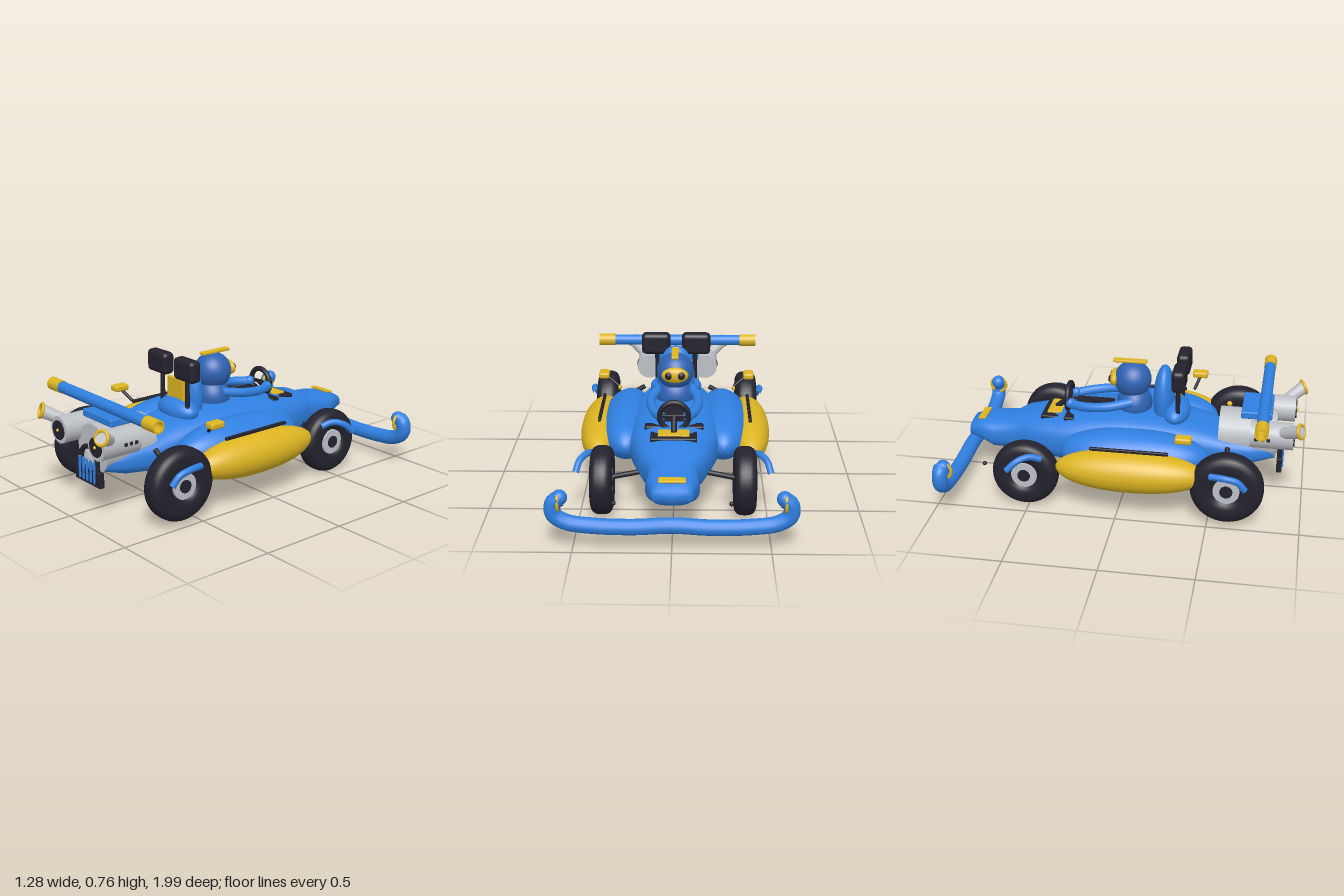
import * as THREE from 'three';
import { RoundedBoxGeometry } from 'three/addons/geometries/RoundedBoxGeometry.js';

const paint = (name, color, side = THREE.FrontSide) => {
  const m = new THREE.MeshStandardMaterial({ color, side });
  m.name = name;
  return m;
};

export function createModel() {
  const blue = paint('body blue', 0x2f7fe0), navy = paint('driver blue', 0x2e62b2);
  const yellow = paint('trim yellow', 0xdcb422), dark = paint('rubber black', 0x23222d);
  const gray = paint('engine gray', 0xbcbfc4);
  const root = new THREE.Group();
  const V = (p) => new THREE.Vector3(...p);

  const add = (name, geo, mat, pos = [0, 0, 0], rot = [0, 0, 0], parent = root) => {
    const m = new THREE.Mesh(geo, mat);
    m.name = name;
    m.position.set(...pos);
    m.rotation.set(...rot);
    parent.add(m);
    return m;
  };
  const box = (name, mat, size, pos, r = 0.01, rot) =>
    add(name, new RoundedBoxGeometry(...size, 3, Math.min(r, ...size.map((s) => s / 2.1))), mat, pos, rot);
  // Ellipsoid; blunt < 1 makes the z ends fuller
  const ellipsoid = (name, mat, radii, pos, blunt = 1) => {
    const g = new THREE.SphereGeometry(1, 40, 28).rotateX(Math.PI / 2);
    const p = g.attributes.position;
    for (let i = 0; i < p.count; i++) {
      const z = p.getZ(i), a = Math.min(1, Math.abs(z));
      const k = a < 0.9999 ? Math.sqrt((1 - a ** (2 / blunt)) / (1 - a * a)) : 0;
      p.setXYZ(i, p.getX(i) * k * radii[0], p.getY(i) * k * radii[1], z * radii[2]);
    }
    g.computeVertexNormals();
    return add(name, g, mat, pos);
  };
  const rod = (name, mat, a, b, r, r2 = r) => {
    const d = V(b).sub(V(a));
    const m = add(name, new THREE.CylinderGeometry(r2, r, d.length(), 20), mat);
    m.position.copy(V(a)).addScaledVector(d, 0.5);
    m.quaternion.setFromUnitVectors(new THREE.Vector3(0, 1, 0), d.normalize());
    return m;
  };
  const tube = (name, mat, pts, r, n = 32) =>
    add(name, new THREE.TubeGeometry(new THREE.CatmullRomCurve3(pts.map(V)), n, r, 14), mat);
  const ball = (name, mat, r, pos) => add(name, new THREE.SphereGeometry(r, 28, 20), mat, pos);

  // Hull: rounded cross-sections [z, half width, bottom, top]
  const stations = [
    [0.83, 0.12, 0.23, 0.33], [0.7, 0.15, 0.19, 0.35], [0.55, 0.17, 0.17, 0.37], [0.4, 0.2, 0.16, 0.42],
    [0.2, 0.24, 0.15, 0.455], [0, 0.25, 0.15, 0.47], [-0.2, 0.25, 0.15, 0.455], [-0.35, 0.24, 0.15, 0.43],
    [-0.5, 0.2, 0.16, 0.405], [-0.6, 0.165, 0.16, 0.39], [-0.66, 0.13, 0.16, 0.36], [-0.78, 0.14, 0.17, 0.345],
    [-0.85, 0.115, 0.2, 0.335], [-0.92, 0.1, 0.23, 0.31],
  ];
  const N = 36, verts = [], idx = [];
  const ring = ([z, w, lo, hi], k = 1) => {
    for (let i = 0; i < N; i++) {
      const t = (i / N) * Math.PI * 2, c = Math.cos(t), s = Math.sin(t);
      verts.push(k * w * Math.sign(c) * Math.abs(c) ** 0.75,
        (lo + hi) / 2 + k * ((hi - lo) / 2) * Math.sign(s) * Math.abs(s) ** 0.75, z);
    }
  };
  ring(stations[0], 0);
  stations.forEach((s) => ring(s));
  ring(stations[stations.length - 1], 0);
  for (let j = 0; j <= stations.length; j++) {
    for (let i = 0; i < N; i++) {
      const a = j * N + i, b = j * N + ((i + 1) % N), c = a + N, d = b + N;
      idx.push(a, c, b, b, c, d);
    }
  }
  const hull = new THREE.BufferGeometry();
  hull.setAttribute('position', new THREE.Float32BufferAttribute(verts, 3));
  hull.setIndex(idx);
  hull.computeVertexNormals();
  add('hull', hull, blue);
  box('nosePlate', yellow, [0.14, 0.012, 0.045], [0, 0.339, -0.855], 0.005, [-0.15, 0, 0]);

  // Wheel: rounded tyre with a hub on both faces
  const wheel = (name, r, w, pos) => {
    const g = new THREE.Group();
    g.name = name;
    g.position.set(...pos);
    root.add(g);
    const prof = [], inner = 0.065, mid = (r + inner) / 2, h = (r - inner) / 2;
    for (let i = 0; i <= 24; i++) {
      const t = (-i / 24) * Math.PI * 2, c = Math.cos(t), s = Math.sin(t);
      prof.push(new THREE.Vector2(mid + h * Math.sign(c) * Math.abs(c) ** 0.8,
        -(w / 2) * Math.sign(s) * Math.abs(s) ** 0.7));
    }
    prof.reverse();
    const tyre = dark.clone();
    add('tyre', new THREE.LatheGeometry(prof.reverse(), 48), darkTwo, [0, 0, 0], [0, 0, Math.PI / 2], g);
    add('hub', new THREE.CylinderGeometry(0.072, 0.072, w * 0.84, 32), gray, [0, 0, 0], [0, 0, Math.PI / 2], g);
    add('hubCap', new THREE.CylinderGeometry(0.035, 0.035, w * 0.94, 24), dark, [0, 0, 0], [0, 0, Math.PI / 2], g);
  };
  const darkTwo = dark;
  dark.side = THREE.DoubleSide;

  for (const s of [1, -1]) {
    wheel('rearWheel', 0.2, 0.13, [s * 0.425, 0.22, 0.6]);
    wheel('frontWheel', 0.185, 0.12, [s * 0.38, 0.19, -0.52]);
    // Side pods
    ellipsoid('sidePod', blue, [0.15, 0.14, 0.415], [s * 0.27, 0.292, 0.07], 0.8);
    ellipsoid('sidePanel', yellow, [0.12, 0.115, 0.41], [s * 0.42, 0.265, 0.07], 0.9);
    box('sideStrip', dark, [0.018, 0.018, 0.43], [s * 0.422, 0.387, 0.065], 0.005);
    // Fenders
    tube('rearFender', blue, [[s * 0.5, 0.25, 0.7], [s * 0.51, 0.3, 0.66], [s * 0.515, 0.318, 0.6], [s * 0.495, 0.315, 0.51]], 0.018);
    tube('frontFender', blue, [[s * 0.435, 0.305, -0.42], [s * 0.46, 0.325, -0.48], [s * 0.495, 0.31, -0.54], [s * 0.515, 0.26, -0.595]], 0.018);
    // Suspension
    rod('rearArm', dark, [s * 0.2, 0.335, 0.58], [s * 0.38, 0.235, 0.58], 0.014);
    rod('frontArm', dark, [s * 0.12, 0.25, -0.52], [s * 0.36, 0.2, -0.52], 0.014);
    ball('armBolt', yellow, 0.016, [s * 0.355, 0.34, 0.545]);
    ball('noseMarker', dark, 0.012, [s * 0.303, 0.175, -0.78]);
    // Mirrors
    box('mirror', yellow, [0.062, 0.036, 0.09], [s * 0.43, 0.488, 0.36], 0.012);
    rod('mirrorStem', dark, [s * 0.345, 0.425, 0.335], [s * 0.415, 0.478, 0.36], 0.009);
    // Rear pads on posts
    box('backPad', dark, [0.166, 0.124, 0.075], [s * 0.117, 0.703, 0.297], 0.025);
    rod('padPost', dark, [s * 0.11, 0.42, 0.29], [s * 0.11, 0.66, 0.29], 0.013);
    // Exhausts
    rod('exhaustBody', gray, [s * 0.175, 0.425, 0.7], [s * 0.175, 0.425, 0.935], 0.075);
    rod('exhaustMouth', dark, [s * 0.175, 0.425, 0.93], [s * 0.175, 0.425, 0.942], 0.053);
    ball('exhaustBolt', yellow, 0.009, [s * 0.175, 0.425, 0.943]);
    rod('exhaustPipe', gray, [s * 0.2, 0.45, 0.86], [s * 0.284, 0.513, 0.97], 0.03, 0.038);
    add('pipeRing', new THREE.TorusGeometry(0.037, 0.009, 12, 32), yellow, [s * 0.285, 0.514, 0.972], [-0.35, s * 0.35, 0]);
    for (let i = 0; i < 3; i++) {
      box('exhaustVent', dark, [0.01, 0.02, 0.02], [s * 0.248, 0.428, 0.735 + i * 0.033], 0.004);
    }
    // Driver arms
    tube('arm', blue, [[s * 0.09, 0.52, 0.03], [s * 0.13, 0.5, -0.1], [s * 0.12, 0.485, -0.22], [s * 0.075, 0.475, -0.33]], 0.026);
    ball('glove', blue, 0.03, [s * 0.075, 0.48, -0.325]);
    // Bumper ends
    ball('bumperTip', blue, 0.04, [s * 0.56, 0.277, -0.935]);
    add('bumperRing', new THREE.TorusGeometry(0.046, 0.009, 12, 32), yellow, [s * 0.567, 0.257, -0.935], [0, Math.PI / 2, s * 0.25]);
  }

  // Front bumper
  const half = [[0.56, 0.277], [0.592, 0.25], [0.59, 0.19], [0.53, 0.148], [0.4, 0.128], [0.2, 0.122]];
  tube('bumper', blue, [...half.map(([x, y]) => [-x, y, -0.945]), [0, 0.132, -0.945],
    ...half.slice().reverse().map(([x, y]) => [x, y, -0.945])], 0.042, 120);

  // Hollow rear wing bar with yellow ends
  const pipe = (name, mat, ro, ri, x0, x1) => add(name, new THREE.LatheGeometry(
    [[ri, x0], [ro, x0], [ro, x0], [ro, x1], [ro, x1], [ri, x1], [ri, x1], [ri, x0]].map((p) => new THREE.Vector2(...p)), 32),
  mat, [0, 0.58, 0.77], [0, 0, -Math.PI / 2]);
  pipe('wingBar', blue, 0.032, 0.024, -0.39, 0.39);
  pipe('wingEnd', yellow, 0.036, 0.026, -0.49, -0.39);
  pipe('wingEnd', yellow, 0.036, 0.026, 0.39, 0.49);

  // Engine
  rod('engineBlock', gray, [0, 0.345, 0.52], [0, 0.345, 0.84], 0.138);
  ball('engineDome', gray, 0.08, [0, 0.3, 0.8]);
  box('engineCover', blue, [0.265, 0.042, 0.17], [0, 0.51, 0.727], 0.008);
  box('grille', dark, [0.23, 0.085, 0.03], [0, 0.203, 0.865], 0.004);
  add('grilleArch', new THREE.TorusGeometry(0.075, 0.014, 12, 36, Math.PI), dark, [0, 0.29, 0.865]);
  for (const s of [1, -1]) rod('archLeg', dark, [s * 0.075, 0.23, 0.865], [s * 0.075, 0.292, 0.865], 0.014);
  for (let i = -2; i <= 2; i++) box('grilleFin', blue, [0.016, 0.125, 0.014], [i * 0.034, 0.238, 0.88], 0.005);

  // Seat
  ellipsoid('headrest', blue, [0.11, 0.2, 0.06], [0, 0.52, 0.2]);
  ellipsoid('seatBase', blue, [0.15, 0.07, 0.08], [0, 0.45, 0.27]);
  box('seatPlate', yellow, [0.14, 0.16, 0.02], [0, 0.55, 0.28], 0.004);

  // Driver
  ellipsoid('torso', navy, [0.11, 0.11, 0.1], [0, 0.48, 0.03]);
  ball('helmet', navy, 0.105, [0, 0.625, 0.02]);
  box('helmetStripe', yellow, [0.04, 0.016, 0.19], [0, 0.733, 0.005], 0.005);
  ellipsoid('visor', yellow, [0.075, 0.045, 0.03], [0, 0.63, -0.08]);
  for (const s of [1, -1]) ellipsoid('lens', dark, [0.022, 0.022, 0.014], [s * 0.034, 0.632, -0.1]);

  // Cockpit and steering
  box('cockpitFloor', dark, [0.12, 0.03, 0.22], [0, 0.455, -0.2], 0.01);
  box('dashboard', dark, [0.25, 0.04, 0.18], [0, 0.395, -0.4], 0.008);
  box('dashSide', dark, [0.32, 0.05, 0.06], [0, 0.405, -0.32], 0.01);
  box('dashPanel', yellow, [0.17, 0.012, 0.085], [0, 0.419, -0.418], 0.004);
  add('steeringWheel', new THREE.TorusGeometry(0.078, 0.015, 14, 40), dark, [0, 0.487, -0.345]);
  box('wheelSpoke', dark, [0.14, 0.022, 0.015], [0, 0.487, -0.345], 0.005);
  rod('steeringColumn', dark, [0, 0.487, -0.34], [0, 0.42, -0.42], 0.016);

  return root;
}
